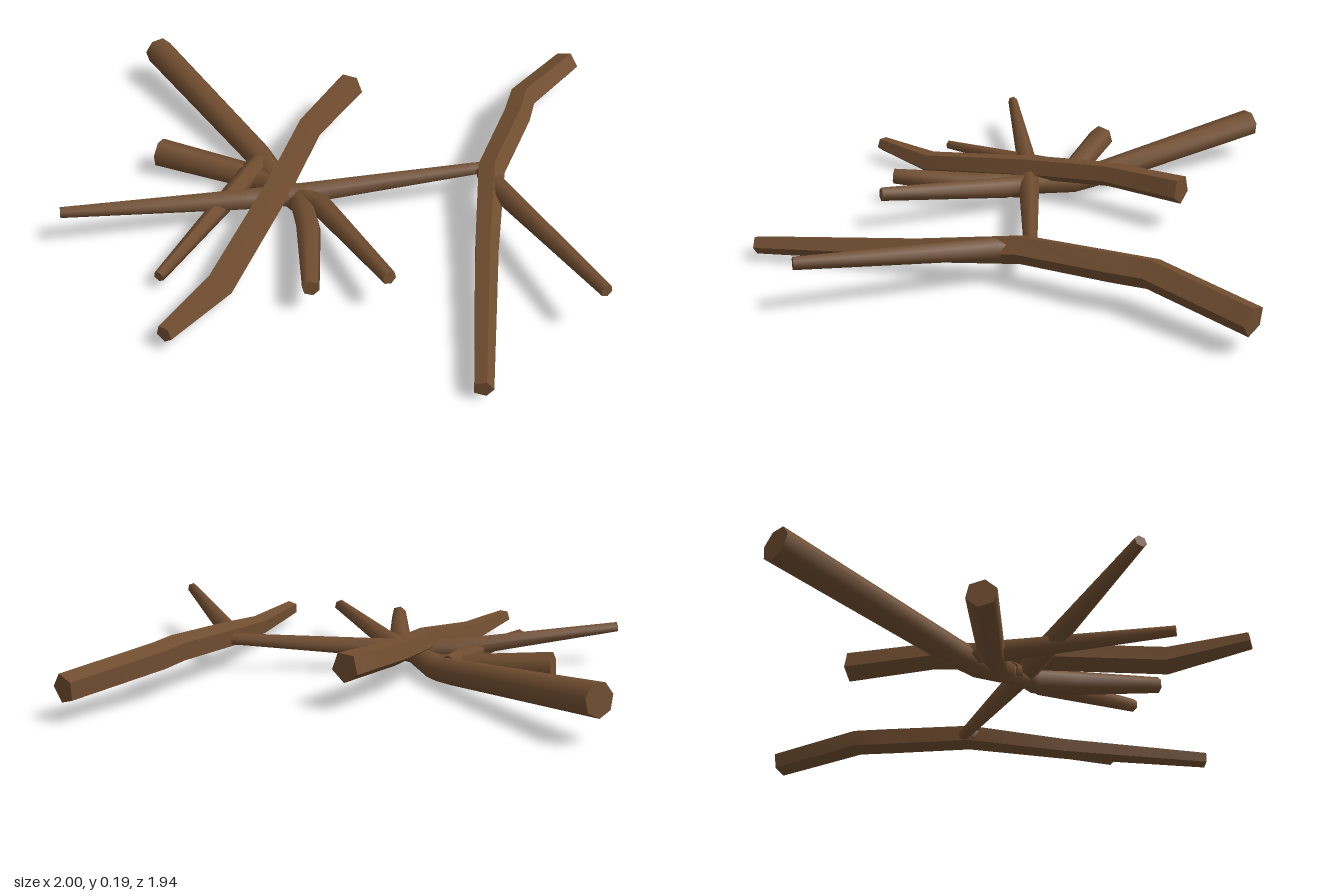
import * as THREE from 'three';
import { toCreasedNormals } from 'three/addons/utils/BufferGeometryUtils.js';

// Sweeps a tapering section with few sides along points of [x, y, z, radius].
function stick(points, sides, turn) {
  const pos = [], index = [];
  const centres = points.map(p => new THREE.Vector3(p[0], p[1], p[2]));
  const up = new THREE.Vector3(0, 1, 0);
  centres.forEach((c, i) => {
    const before = centres[Math.max(i - 1, 0)];
    const after = centres[Math.min(i + 1, centres.length - 1)];
    const dir = after.clone().sub(before).normalize();
    const side = dir.clone().cross(up).normalize();
    const lift = side.clone().cross(dir);
    for (let k = 0; k < sides; k++) {
      const a = turn + (k / sides) * Math.PI * 2;
      const v = c.clone()
        .addScaledVector(side, Math.cos(a) * points[i][3])
        .addScaledVector(lift, Math.sin(a) * points[i][3]);
      pos.push(v.x, v.y, v.z);
    }
  });
  // Bark faces
  for (let i = 0; i < points.length - 1; i++) {
    for (let k = 0; k < sides; k++) {
      const a = i * sides + k, b = i * sides + (k + 1) % sides;
      index.push(a, a + sides, b, b, a + sides, b + sides);
    }
  }
  // Cut ends
  const last = (points.length - 1) * sides;
  for (let k = 1; k < sides - 1; k++) {
    index.push(0, k, k + 1, last, last + k + 1, last + k);
  }
  const g = new THREE.BufferGeometry();
  g.setAttribute('position', new THREE.Float32BufferAttribute(pos, 3));
  g.setIndex(index);
  return toCreasedNormals(g, 1.1);
}

export function createModel() {
  const group = new THREE.Group();
  group.name = 'stickPile';
  const bark = new THREE.MeshStandardMaterial({ color: 0x704d30 });

  const sticks = {
    // Thick log on the left, bending into the middle of the pile
    leftLog: [7, 0.2, [[-0.995, 0.137, 0.212, 0.053], [-0.3, 0.062, 0.245, 0.045],
      [-0.2, 0.05, 0.26, 0.043], [-0.03, 0.06, 0.3, 0.035]]],
    leftLogFork: [6, 0.3, [[-0.1, 0.06, 0.3, 0.03], [0.02, 0.07, 0.29, 0.042],
      [0.15, 0.085, 0.36, 0.04], [0.395, 0.11, 0.535, 0.027]]],
    // Short thick piece at the front, with a thin twig running on from it
    shortLog: [6, 0.3, [[-0.495, 0.085, 0.515, 0.048], [-0.25, 0.055, 0.345, 0.043],
      [-0.16, 0.05, 0.3, 0.036], [0, 0.075, 0.27, 0.03]]],
    shortLogFork: [6, 0.3, [[-0.06, 0.07, 0.29, 0.03], [0.09, 0.09, 0.265, 0.037],
      [0.53, 0.138, 0.347, 0.023]]],
    frontTwig: [6, 0.6, [[-0.25, 0.07, 0.27, 0.035], [-0.2, 0.07, 0.36, 0.037],
      [0.02, 0.06, 0.83, 0.018]]],
    // Bent log lying over the pile
    topLog: [5, 0.9, [[-0.33, 0.145, -0.195, 0.05], [-0.22, 0.135, 0.08, 0.045],
      [-0.05, 0.115, 0.33, 0.045], [0.165, 0.055, 0.71, 0.045], [0.25, 0.075, 0.95, 0.028]]],
    // Long thin stick joining the two clusters
    crossStick: [6, 0.3, [[0.32, 0.12, -0.28, 0.02], [0.28, 0.117, -0.21, 0.023],
      [0, 0.08, 0.255, 0.038], [-0.1, 0.08, 0.43, 0.037], [-0.35, 0.14, 0.955, 0.019]]],
    // Big curved branch at the back right and its twig
    backBranch: [5, 0.6, [[0.025, 0.108, -0.96, 0.048], [0.12, 0.138, -0.62, 0.05],
      [0.19, 0.138, -0.52, 0.05], [0.34, 0.125, -0.25, 0.048],
      [0.58, 0.085, 0, 0.04], [0.96, 0.053, 0.375, 0.03]]],
    backTwig: [6, 0.3, [[0.32, 0.12, -0.24, 0.03], [0.4, 0.125, -0.21, 0.036],
      [0.995, 0.178, -0.067, 0.02]]],
  };

  for (const [name, [sides, turn, points]] of Object.entries(sticks)) {
    const mesh = new THREE.Mesh(stick(points, sides, turn), bark);
    mesh.name = name;
    group.add(mesh);
  }

  // Rest the pile on the ground
  group.position.y = -new THREE.Box3().setFromObject(group, true).min.y;
  return group;
}
